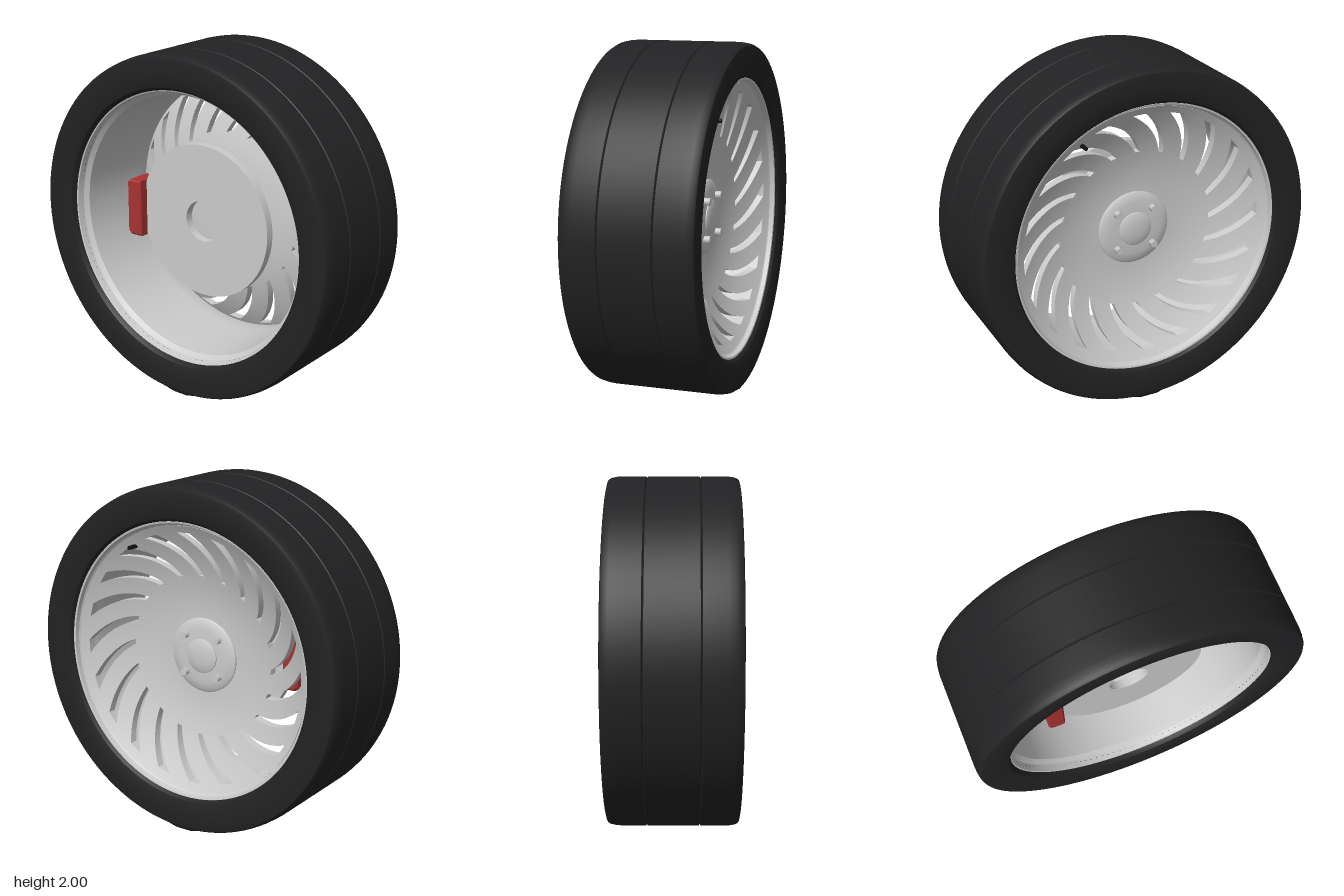
import * as THREE from 'three';
import { toCreasedNormals } from 'three/addons/utils/BufferGeometryUtils.js';

// Everything is built facing +z around the wheel axis, then turned to face +x.
const paint = (color) => new THREE.MeshStandardMaterial({ color });
const grey = paint(0xcccccc);
const rubber = paint(0x222224);
const red = paint(0xa83232);
const black = paint(0x111111);

const SLOTS = 20;
const R_IN = 0.47, R_OUT = 0.73, THICK = 0.05;
const DEG = Math.PI / 180;

function add(parent, name, geometry, material, x = 0, y = 0, z = 0) {
  const mesh = new THREE.Mesh(geometry, material);
  mesh.name = name;
  mesh.position.set(x, y, z);
  parent.add(mesh);
  return mesh;
}

// Lathe around the wheel axis; profile points are [radius, z]
function turned(profile, segments = 120, bend = null) {
  const g = new THREE.LatheGeometry(profile.map(([r, z]) => new THREE.Vector2(r, z)), segments);
  g.rotateX(Math.PI / 2);
  if (bend) bend(g.attributes.position);
  return toCreasedNormals(g, 0.5);
}

// Front surface of the dished wheel face
const dish = (r) => 0.13 + 0.15 * Math.pow(Math.max(0, r - 0.2) / 0.53, 2);

// Closed profile of a ring of the face between two radii
function dishProfile(r0, r1, steps) {
  const back = [], front = [];
  for (let i = 0; i <= steps; i++) {
    const r = r0 + (r1 - r0) * i / steps;
    back.push([r, dish(r) - THICK]);
    front.unshift([r, dish(r)]);
  }
  return [...back, ...front, back[0]];
}

// Swept angle of the slot centre line and its angular half width
const slotAngle = (t) => (-22 + 16 * t + 6 * t * t) * DEG;
const slotHalf = (t) => (1.9 + 1.4 * t) * DEG;

// Curved spoke between two slots, bent from a box
function spokeGeometry() {
  const g = new THREE.BoxGeometry(1, 1, 1, 4, 12, 1);
  const p = g.attributes.position;
  const pitch = 2 * Math.PI / SLOTS;
  for (let i = 0; i < p.count; i++) {
    const t = p.getY(i) + 0.5;
    const r = R_IN + (R_OUT - R_IN) * t;
    const a = slotAngle(t) + pitch / 2 - p.getX(i) * (pitch - 2 * slotHalf(t));
    p.setXYZ(i, r * Math.cos(a), r * Math.sin(a), dish(r) - (0.5 - p.getZ(i)) * THICK);
  }
  g.computeVertexNormals();
  return g;
}

function buildTyre(wheel) {
  const side = [[0.785, 0.30], [0.80, 0.335], [0.815, 0.355], [0.85, 0.366], [0.90, 0.37],
    [0.965, 0.37], [0.982, 0.366], [0.991, 0.352], [0.997, 0.325], [1, 0.29], [1, 0.156], [0.99, 0.15], [1, 0.144]];
  const mirrored = side.map(([r, z]) => [r, -z]);
  const profile = [...mirrored, ...side.slice().reverse(), mirrored[0]];
  // Flat contact patch on the ground
  add(wheel, 'tyre', turned(profile, 128, (p) => {
    for (let i = 0; i < p.count; i++) if (p.getY(i) < -0.987) p.setY(i, -1);
  }), rubber);
}

function buildRim(wheel) {
  const rim = new THREE.Group();
  rim.name = 'rim';
  wheel.add(rim);
  add(rim, 'barrel', turned([
    [0.80, -0.33], [0.81, -0.325], [0.81, -0.29], [0.775, -0.27], [0.765, 0.26], [0.81, 0.29],
    [0.81, 0.33], [0.80, 0.338], [0.79, 0.335], [0.785, 0.31], [0.765, 0.29], [0.75, 0.26],
    [0.745, 0.15], [0.76, -0.26], [0.782, -0.285], [0.79, -0.325], [0.80, -0.33],
  ]), grey);
  add(rim, 'faceCentre', turned(dishProfile(0, R_IN, 14)), grey);
  add(rim, 'faceRing', turned(dishProfile(R_OUT, 0.775, 3)), grey);
  const spoke = spokeGeometry();
  for (let k = 0; k < SLOTS; k++) {
    add(rim, 'spoke', spoke, grey).rotation.z = 93 * DEG + k * 2 * Math.PI / SLOTS;
  }
}

function buildHub(wheel) {
  const hub = new THREE.Group();
  hub.name = 'hub';
  wheel.add(hub);
  add(hub, 'hubCap', turned([[0.218, 0.12], [0.218, 0.138], [0.205, 0.147], [0.16, 0.154], [0.10, 0.157], [0, 0.157]], 64), grey);
  add(hub, 'centreCap', turned([[0.10, 0.15], [0.10, 0.163], [0.09, 0.168], [0.05, 0.174], [0, 0.176]], 48), grey);
  const bolt = new THREE.CylinderGeometry(0.022, 0.022, 0.04, 6).rotateX(Math.PI / 2);
  for (const x of [-0.11, 0.11]) for (const y of [-0.11, 0.11]) add(hub, 'bolt', bolt, grey, x, y, 0.17);
}

function buildBrake(wheel) {
  const brake = new THREE.Group();
  brake.name = 'brake';
  wheel.add(brake);
  add(brake, 'brakeDisc', turned([[0.12, -0.13], [0.45, -0.13], [0.45, -0.08], [0.12, -0.08], [0.12, -0.13]], 80), grey);
  // Caliper block with chamfered edges, clasping the rear edge of the disc
  const s = new THREE.Shape();
  s.moveTo(0.42, -0.17);
  s.lineTo(0.50, -0.17);
  s.lineTo(0.52, -0.15);
  s.lineTo(0.52, 0.15);
  s.lineTo(0.50, 0.17);
  s.lineTo(0.42, 0.17);
  s.closePath();
  add(brake, 'caliper', new THREE.ExtrudeGeometry(s, { depth: 0.14, bevelEnabled: true,
    bevelSize: 0.01, bevelOffset: -0.01, bevelThickness: 0.01, bevelSegments: 1 }), red, 0, 0, -0.18);
}

export function createModel() {
  const model = new THREE.Group();
  model.name = 'wheel';
  const wheel = new THREE.Group();
  wheel.name = 'wheelAssembly';
  wheel.position.y = 1;
  wheel.rotation.y = Math.PI / 2;
  model.add(wheel);

  buildTyre(wheel);
  buildRim(wheel);
  buildHub(wheel);
  buildBrake(wheel);

  // Valve stem near the edge of the face
  add(wheel, 'valveStem', new THREE.CylinderGeometry(0.011, 0.013, 0.08, 12).rotateX(Math.PI / 2), black, -0.376, 0.61, 0.29);
  return model;
}
